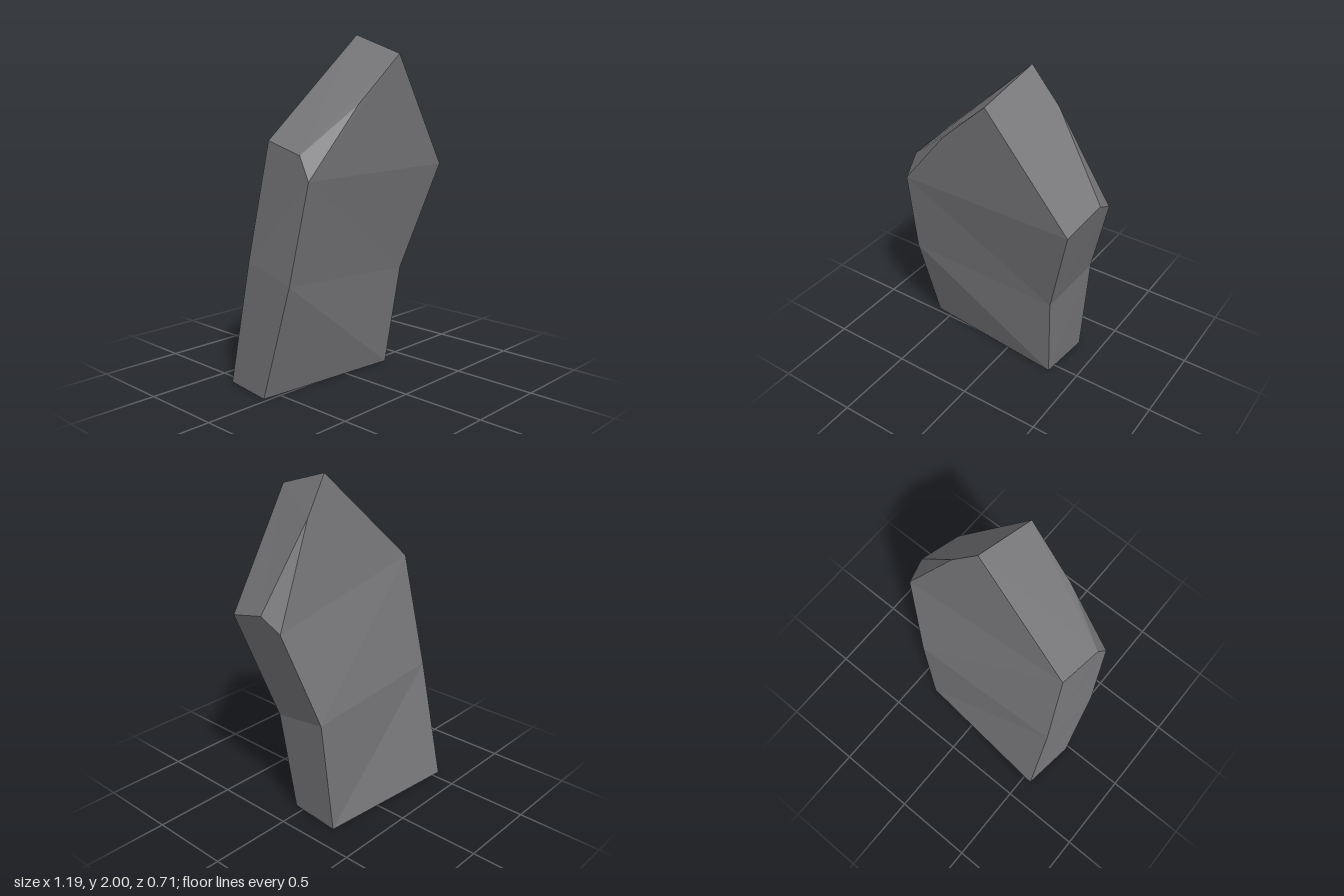
import * as THREE from 'three';

// Corners of the stone: F/B = front/back, L/R = -x/+x, number = ring from the ground up
const P = {
  FL0: [-0.6, 0, -0.025], FR0: [0.33, 0, 0.06], BR0: [0.36, 0, -0.27], BL0: [-0.555, 0, -0.355],
  FL1: [-0.58, 0.67, 0.17], FR1: [0.37, 0.61, 0.14], BR1: [0.42, 0.69, -0.24], BL1: [-0.535, 0.74, -0.21],
  FL2: [-0.535, 1.235, 0.275], FR2: [0.55, 1.245, 0.29], BR2: [0.577, 1.24, -0.105], BL2: [-0.49, 1.425, -0.08],
  sideL: [-0.52, 1.365, 0.195], sideR: [0.59, 1.315, 0.025],
  chip: [-0.21, 1.62, 0.32], notch: [0.285, 1.79, -0.03],
  peakF: [0.085, 1.89, 0.355], peakB: [0.13, 2, -0.005],
};

// Facets, counter-clockwise from outside; each is fanned from its first corner
const facets = [
  // front
  'FR0 FR1 FL1 FL0', 'FL2 FL1 FR1 FR2', 'FL2 FR2 peakF chip',
  // back
  'BL1 BR1 BR0 BL0', 'BL2 BR2 BR1 BL1', 'BL2 peakB notch BR2',
  // sides
  'FR0 BR0 BR1 FR1', 'FR1 BR1 BR2 sideR FR2',
  'BL0 FL0 FL1 BL1', 'BL1 FL1 FL2 sideL BL2',
  // sloping top and chipped corners
  'sideL chip peakF peakB BL2', 'peakF FR2 sideR notch peakB',
  'FL2 chip sideL', 'notch sideR BR2',
  // underside
  'FL0 BL0 BR0 FR0',
];

function facetGeometry(list) {
  const positions = [];
  for (const facet of list) {
    const c = facet.split(' ').map((name) => P[name]);
    for (let i = 1; i < c.length - 1; i++) positions.push(...c[0], ...c[i], ...c[i + 1]);
  }
  const geometry = new THREE.BufferGeometry();
  geometry.setAttribute('position', new THREE.Float32BufferAttribute(positions, 3));
  geometry.computeVertexNormals(); // unshared corners give flat facets
  return geometry;
}

export function createModel() {
  const stoneGrey = new THREE.MeshStandardMaterial({ color: 0x77777a });
  stoneGrey.name = 'stoneGrey';
  stoneGrey.flatShading = true;

  const stone = new THREE.Mesh(facetGeometry(facets), stoneGrey);
  stone.name = 'standingStone';

  const group = new THREE.Group();
  group.name = 'rock';
  group.add(stone);
  return group;
}
